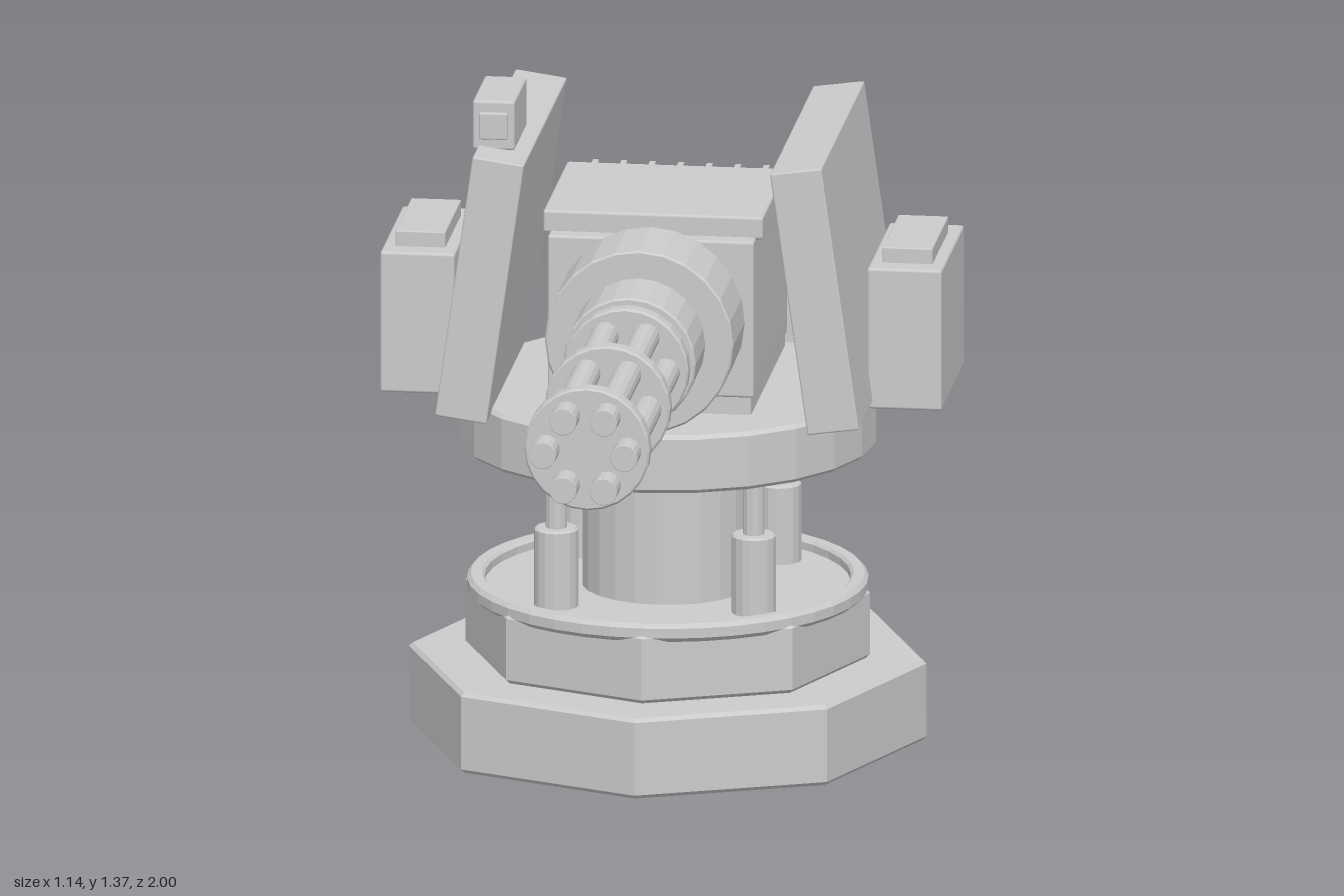
import * as THREE from 'three';
import { RoundedBoxGeometry } from 'three/addons/geometries/RoundedBoxGeometry.js';

const smooth = new THREE.MeshStandardMaterial({ color: 0xcccccc });
const flat = new THREE.MeshStandardMaterial({ color: 0xcccccc, flatShading: true });
const AXIS_Z = -0.335; // turning axis of the mount
const GUN_Y = 0.937; // height of the gun axis

export function createModel() {
  const model = new THREE.Group();
  model.name = 'gunTurret';

  const add = (name, geometry, material, x, y, z, parent = model) => {
    const mesh = new THREE.Mesh(geometry, material);
    mesh.name = name;
    mesh.position.set(x, y, z);
    parent.add(mesh);
    return mesh;
  };

  // Box with softened edges, given by its limits on each axis
  const box = (name, [x0, x1], [y0, y1], [z0, z1], r = 0.006, parent = model) =>
    add(name, new RoundedBoxGeometry(x1 - x0, y1 - y0, z1 - z0, 2, r), smooth,
      (x0 + x1) / 2, (y0 + y1) / 2, (z0 + z1) / 2, parent);

  // Upright disc with chamfered rims
  const drum = (name, radius, y0, y1, sides, c = 0.008, x = 0, z = AXIS_Z) => {
    const h = y1 - y0;
    const profile = [[0, 0], [radius - c, 0], [radius, c], [radius, h - c], [radius - c, h], [0, h]];
    return add(name, new THREE.LatheGeometry(profile.map(p => new THREE.Vector2(...p)), sides), flat, x, y0, z);
  };

  // Disc lying along the gun axis
  const gunDrum = (name, radius, z0, z1, sides, x = 0, y = GUN_Y, c = 0.004) => {
    const mesh = drum(name, radius, 0, z1 - z0, sides, c);
    mesh.rotation.x = Math.PI / 2;
    mesh.position.set(x, y, z0);
    return mesh;
  };

  // Octagonal base with round rim
  drum('base', 0.527, 0, 0.168, 8);
  drum('baseStep', 0.412, 0.168, 0.312, 8);
  const rim = [[0.37, 0.295], [0.395, 0.295], [0.406, 0.305], [0.406, 0.325],
    [0.398, 0.334], [0.376, 0.334], [0.37, 0.328], [0.37, 0.295]];
  add('baseRim', new THREE.LatheGeometry(rim.map(p => new THREE.Vector2(...p)), 40), flat, 0, 0, AXIS_Z);

  // Column, pistons and turntable
  drum('column', 0.174, 0.3, 0.62, 24);
  for (const sx of [-1, 1]) {
    for (const sz of [-1, 1]) {
      const x = sx * 0.201, z = AXIS_Z + sz * 0.201;
      drum('pistonSleeve', 0.045, 0.3, 0.476, 16, 0.004, x, z);
      drum('pistonRod', 0.022, 0.47, 0.62, 12, 0.002, x, z);
    }
  }
  drum('turntable', 0.424, 0.612, 0.733, 24);

  // Gun body
  box('gunBody', [-0.21, 0.21], [0.778, 1.105], [-0.595, -0.063]);
  box('bodyCover', [-0.224, 0.224], [1.1, 1.147], [-0.48, -0.1]);
  box('bodyCradle', [-0.2, 0.2], [0.72, 0.79], [-0.64, -0.1]);
  box('bodyNeck', [-0.2, 0.2], [0.75, 0.97], [-0.68, -0.58]);
  box('rearBox', [-0.267, 0.267], [0.708, 1.022], [-0.878, -0.66]);

  // Cooling fins
  box('finPlate', [-0.255, 0.255], [0.718, 1.013], [-0.91, -0.87]);
  for (let i = -4; i <= 4; i++) {
    add('coolingFin', new THREE.BoxGeometry(0.012, 0.285, 0.1), smooth, i * 0.058, 0.866, -0.95);
  }

  // Leaning shields with side pods
  for (const s of [-1, 1]) {
    const shield = add('shield', new RoundedBoxGeometry(0.106, 0.55, 0.68, 2, 0.004), smooth,
      s * 0.341, 1, -0.345);
    shield.rotation.z = s * THREE.MathUtils.degToRad(8);
    const pod = new THREE.Group();
    pod.name = s > 0 ? 'leftPod' : 'rightPod';
    pod.position.x = s * 0.496;
    model.add(pod);
    box('podBody', [-0.076, 0.076], [0.72, 1.014], [-0.58, -0.224], 0.006, pod);
    box('podLid', [-0.051, 0.051], [1.0, 1.046], [-0.525, -0.273], 0.003, pod);
  }

  // Sensor on the right shield
  box('sensorBody', [-0.367, -0.281], [1.27, 1.373], [-0.29, -0.096]);
  box('sensorLens', [-0.352, -0.295], [1.295, 1.35], [-0.12, -0.084], 0.003);

  // Barrel housing, barrels and clamps
  gunDrum('housing', 0.192, -0.07, 0.12, 24);
  gunDrum('housingNose', 0.135, 0.11, 0.272, 24);
  for (let i = 0; i < 6; i++) {
    const a = i * Math.PI / 3;
    gunDrum('barrel', 0.028, 0.26, 1, 16, 0.083 * Math.cos(a), GUN_Y + 0.083 * Math.sin(a), 0.001);
  }
  for (const z of [0.312, 0.6, 0.922]) gunDrum('barrelClamp', 0.128, z - 0.019, z + 0.019, 24);

  return model;
}
